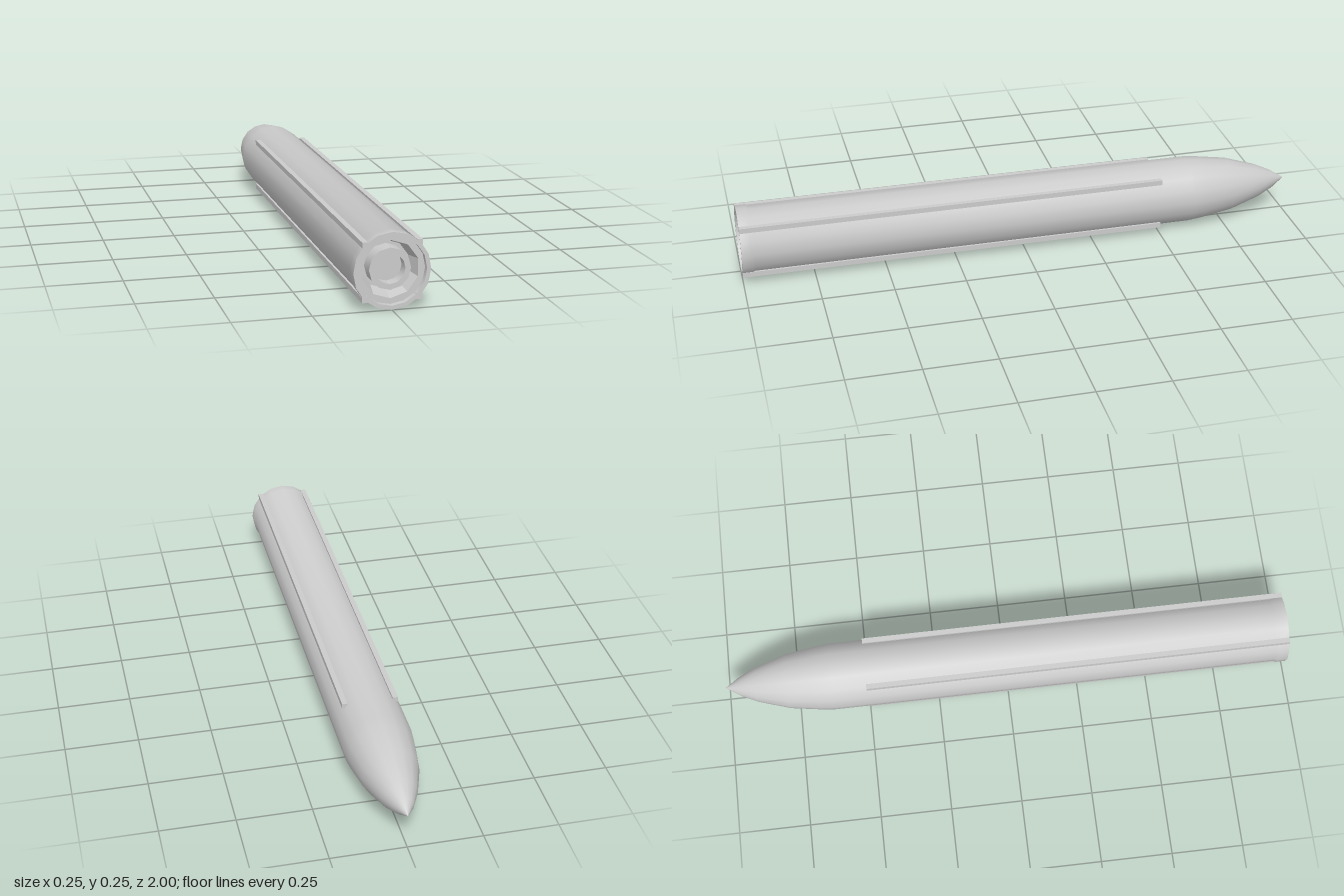
import * as THREE from 'three';
import { toCreasedNormals } from 'three/addons/utils/BufferGeometryUtils.js';

const AXIS_Y = 0.123;

export function createModel() {
  const group = new THREE.Group();
  const material = new THREE.MeshStandardMaterial({ color: 0xcccccc });

  function add(name, geometry, x = 0, y = 0, z = 0) {
    const mesh = new THREE.Mesh(geometry, material);
    mesh.name = name;
    mesh.position.set(x, AXIS_Y + y, z);
    group.add(mesh);
  }

  // Turned part along z; profile points are [radius, z]
  function turned(profile, sides) {
    const points = profile.map(([r, z]) => new THREE.Vector2(r, z));
    const geometry = new THREE.LatheGeometry(points, sides).rotateX(Math.PI / 2);
    return toCreasedNormals(geometry, 0.6);
  }

  // Hull: pointed nose, straight tube, slightly flared rim and its inside
  add('hull', turned([
    [0, -1], [0.033, -0.95], [0.061, -0.89], [0.096, -0.78], [0.113, -0.67], [0.118, -0.62],
    [0.118, 0.955], [0.123, 0.965], [0.123, 1], [0.11, 1], [0.11, 0.96],
  ], 16));

  // Recessed end plate with a tapering well
  add('engineWell', turned([
    [0.1155, 0.98], [0.092, 0.98], [0.078, 0.92], [0, 0.92],
  ], 10));

  // Hollow nozzle standing in the well
  add('nozzle', turned([
    [0.067, 0.915], [0.067, 0.975], [0.049, 0.975], [0.049, 0.935], [0, 0.935],
  ], 12));

  // Four long rails along the hull
  for (const sx of [-1, 1]) {
    for (const sy of [-1, 1]) {
      add('rail', new THREE.BoxGeometry(0.018, 0.018, 1.5), sx * 0.086, sy * 0.086, 0.25);
    }
  }

  return group;
}
